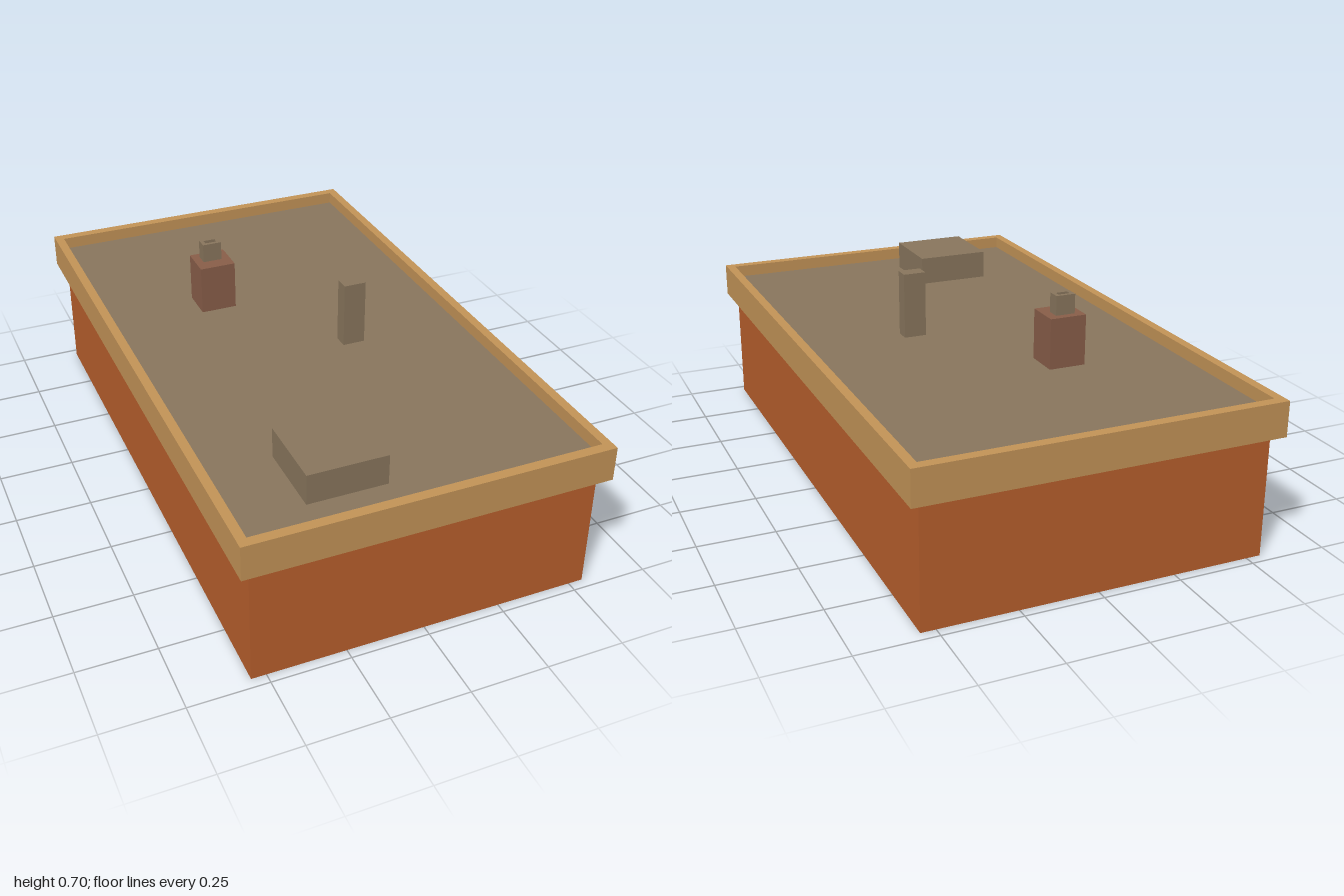
import * as THREE from 'three';

const material = (name, color, side = THREE.FrontSide) => {
  const m = new THREE.MeshStandardMaterial({ color, side });
  m.name = name;
  return m;
};

export function createModel() {
  const model = new THREE.Group();
  model.name = 'flatRoofBuilding';

  const wallOrange = material('wallOrange', 0xba602d, THREE.DoubleSide);
  const trimTan = material('trimTan', 0xc59558);
  const roofBrown = material('roofBrown', 0x8a775e);
  const chimneyRed = material('chimneyRed', 0x8a5f4a);

  const add = (name, geometry, mat) => {
    const mesh = new THREE.Mesh(geometry, mat);
    mesh.name = name;
    model.add(mesh);
    return mesh;
  };

  // Box given by its limits on each axis
  const block = (name, [x0, x1], [y0, y1], [z0, z1], mat) =>
    add(name, new THREE.BoxGeometry(x1 - x0, y1 - y0, z1 - z0), mat)
      .position.set((x0 + x1) / 2, (y0 + y1) / 2, (z0 + z1) / 2);

  // Upright rectangular tube, from outer and inner limits in x and z
  const frame = (name, [ox0, ox1, oz0, oz1], [ix0, ix1, iz0, iz1], y0, y1, mat) => {
    const rect = (P, x0, x1, z0, z1) => new P([
      new THREE.Vector2(x0, -z1), new THREE.Vector2(x1, -z1),
      new THREE.Vector2(x1, -z0), new THREE.Vector2(x0, -z0),
    ]);
    const shape = rect(THREE.Shape, ox0, ox1, oz0, oz1);
    shape.holes.push(rect(THREE.Path, ix0, ix1, iz0, iz1));
    const geometry = new THREE.ExtrudeGeometry(shape, { depth: y1 - y0, bevelEnabled: false });
    geometry.rotateX(-Math.PI / 2);
    add(name, geometry, mat).position.y = y0;
  };

  // Thin outer walls, open at the bottom
  const W = 0.547, D = 0.967, H = 0.395;
  for (const s of [1, -1]) {
    const end = add(s > 0 ? 'frontWall' : 'backWall', new THREE.PlaneGeometry(2 * W, H), wallOrange);
    end.position.set(0, H / 2, s * D);
    end.rotation.y = s > 0 ? 0 : Math.PI;
    const side = add(s > 0 ? 'leftWall' : 'rightWall', new THREE.PlaneGeometry(2 * D, H), wallOrange);
    side.position.set(s * W, H / 2, 0);
    side.rotation.y = s * Math.PI / 2;
  }

  // Overhanging parapet, the slab inside it and the roof covering
  const R = 0.55;
  frame('parapet', [-0.58, 0.58, -1, 1], [-R, R, -D, D], H, 0.508, trimTan);
  block('roofSlab', [-R, R], [H, 0.46], [-D, D], trimTan);
  block('roofCovering', [-R, R], [0.46, 0.467], [-D, D], roofBrown);

  // Rooftop hatch and vent
  block('roofHatch', [-0.33, -0.077], [0.462, 0.565], [0.6, 0.85], roofBrown);
  block('ventPost', [0.125, 0.2], [0.462, 0.686], [0.05, 0.1], roofBrown);

  // Chimney, reaching just through the ceiling, with a hollow pot
  block('chimney', [-0.232, -0.11], [0.373, 0.633], [-0.41, -0.293], chimneyRed);
  frame('chimneyPot', [-0.205, -0.14, -0.385, -0.342], [-0.192, -0.153, -0.373, -0.354], 0.633, 0.697, roofBrown);
  block('chimneyPotFloor', [-0.192, -0.153], [0.633, 0.64], [-0.373, -0.354], roofBrown);

  return model;
}
